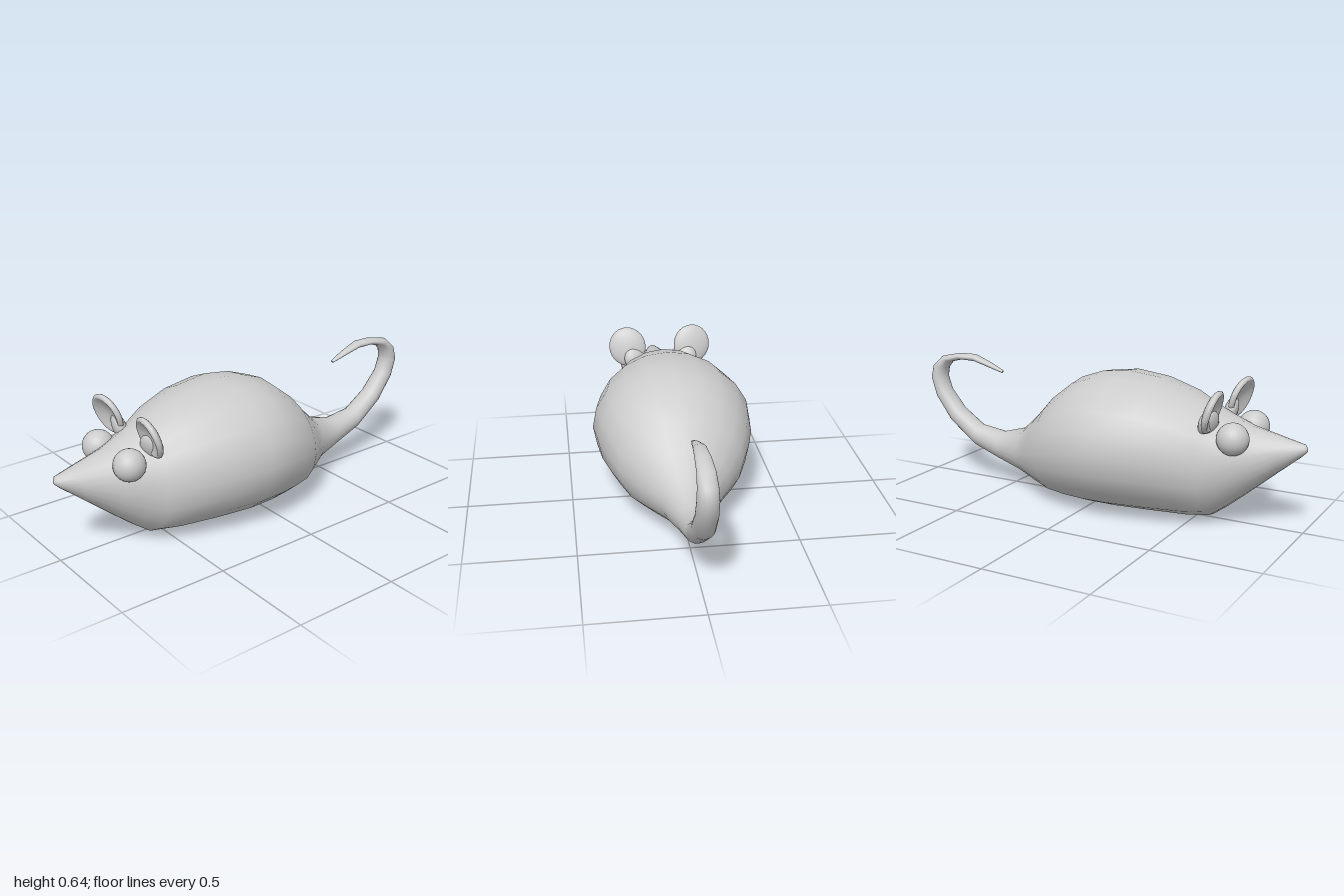
import * as THREE from 'three';

const material = new THREE.MeshStandardMaterial({ color: 0xcccccc, side: THREE.DoubleSide });

// Elliptical cross-sections from nose to tail tip:
// upper/inner point (z, y), lower/outer point (z, y), half width
const SECTIONS = [
  [1.0, 0.385, 1.0, 0.37, 0.008],
  [0.99, 0.402, 0.975, 0.345, 0.03],
  [0.9, 0.422, 0.88, 0.265, 0.072],
  [0.75, 0.455, 0.74, 0.145, 0.135],
  [0.64, 0.495, 0.65, 0.07, 0.19],
  [0.57, 0.525, 0.585, 0.022, 0.228],
  [0.46, 0.58, 0.48, 0.012, 0.288],
  [0.3, 0.625, 0.3, 0.008, 0.35],
  [0.13, 0.642, 0.13, 0.004, 0.384],
  [0, 0.625, 0, 0.002, 0.367],
  [-0.11, 0.585, -0.1, 0.004, 0.336],
  [-0.22, 0.5, -0.21, 0.015, 0.286],
  [-0.32, 0.395, -0.31, 0.04, 0.205],
  [-0.43, 0.295, -0.43, 0.073, 0.115],
  [-0.57, 0.255, -0.58, 0.115, 0.072],
  [-0.71, 0.275, -0.73, 0.168, 0.057],
  [-0.82, 0.35, -0.88, 0.28, 0.052],
  [-0.895, 0.44, -0.97, 0.4, 0.048],
  [-0.915, 0.505, -1.0, 0.495, 0.046],
  [-0.905, 0.55, -0.985, 0.56, 0.043],
  [-0.875, 0.585, -0.93, 0.61, 0.039],
  [-0.81, 0.602, -0.83, 0.632, 0.034],
  [-0.73, 0.6, -0.735, 0.635, 0.028],
  [-0.65, 0.578, -0.635, 0.6, 0.019],
  [-0.57, 0.556, -0.565, 0.568, 0.009],
];

function loftGeometry(sections, sides) {
  const position = [];
  const index = [];
  const first = sections[0], last = sections[sections.length - 1];
  // collapsed end rings close both tips
  const close = ([tz, ty, bz, by]) => {
    const z = (tz + bz) / 2, y = (ty + by) / 2;
    return [z, y, z, y, 0];
  };
  const rings = [close(first), ...sections, close(last)];
  rings.forEach(([tz, ty, bz, by, w], i) => {
    for (let j = 0; j < sides; j++) {
      const a = (j / sides) * Math.PI * 2;
      const c = Math.cos(a) / 2;
      position.push(w * Math.sin(a), (ty + by) / 2 + (ty - by) * c, (tz + bz) / 2 + (tz - bz) * c);
      if (i < rings.length - 1) {
        const p = i * sides + j, q = i * sides + ((j + 1) % sides);
        index.push(p, q, p + sides, q, q + sides, p + sides);
      }
    }
  });
  const geometry = new THREE.BufferGeometry();
  geometry.setAttribute('position', new THREE.Float32BufferAttribute(position, 3));
  geometry.setIndex(index);
  geometry.computeVertexNormals();
  return geometry;
}

// Flattened ball with a hollow pressed into its front
function earGeometry() {
  const geometry = new THREE.SphereGeometry(1, 28, 32);
  geometry.rotateX(Math.PI / 2);
  const p = geometry.attributes.position;
  for (let i = 0; i < p.count; i++) {
    const x = p.getX(i), y = p.getY(i), z = p.getZ(i);
    const hollow = z > 0 ? 0.04 * Math.max(0, 1 - (x * x + y * y) / 0.8) : 0;
    p.setXYZ(i, x * 0.094, y * 0.1, z * 0.032 - hollow);
  }
  geometry.computeVertexNormals();
  return geometry;
}

export function createModel() {
  const model = new THREE.Group();
  const add = (name, geometry) => {
    const mesh = new THREE.Mesh(geometry, material);
    mesh.name = name;
    model.add(mesh);
    return mesh;
  };

  // Body, head and curled tail in one smooth skin
  add('bodyAndTail', loftGeometry(SECTIONS, 20));

  for (const [side, s] of [['left', 1], ['right', -1]]) {
    // Eye
    add(side + 'Eye', new THREE.SphereGeometry(0.072, 24, 16)).position.set(s * 0.128, 0.42, 0.708);

    // Cupped ear, leaning forward and outward
    const ear = add(side + 'Ear', earGeometry());
    ear.position.set(s * 0.168, 0.538, 0.628);
    ear.rotation.set(0.3, s * -0.1, s * -0.25);

    // Ear root, merging into the head
    const root = add(side + 'EarRoot', new THREE.SphereGeometry(1, 20, 14));
    root.scale.set(0.058, 0.065, 0.032);
    root.position.set(s * 0.13, 0.478, 0.595);
    root.rotation.set(0.3, s * 0.3, s * -0.5);
  }
  return model;
}
